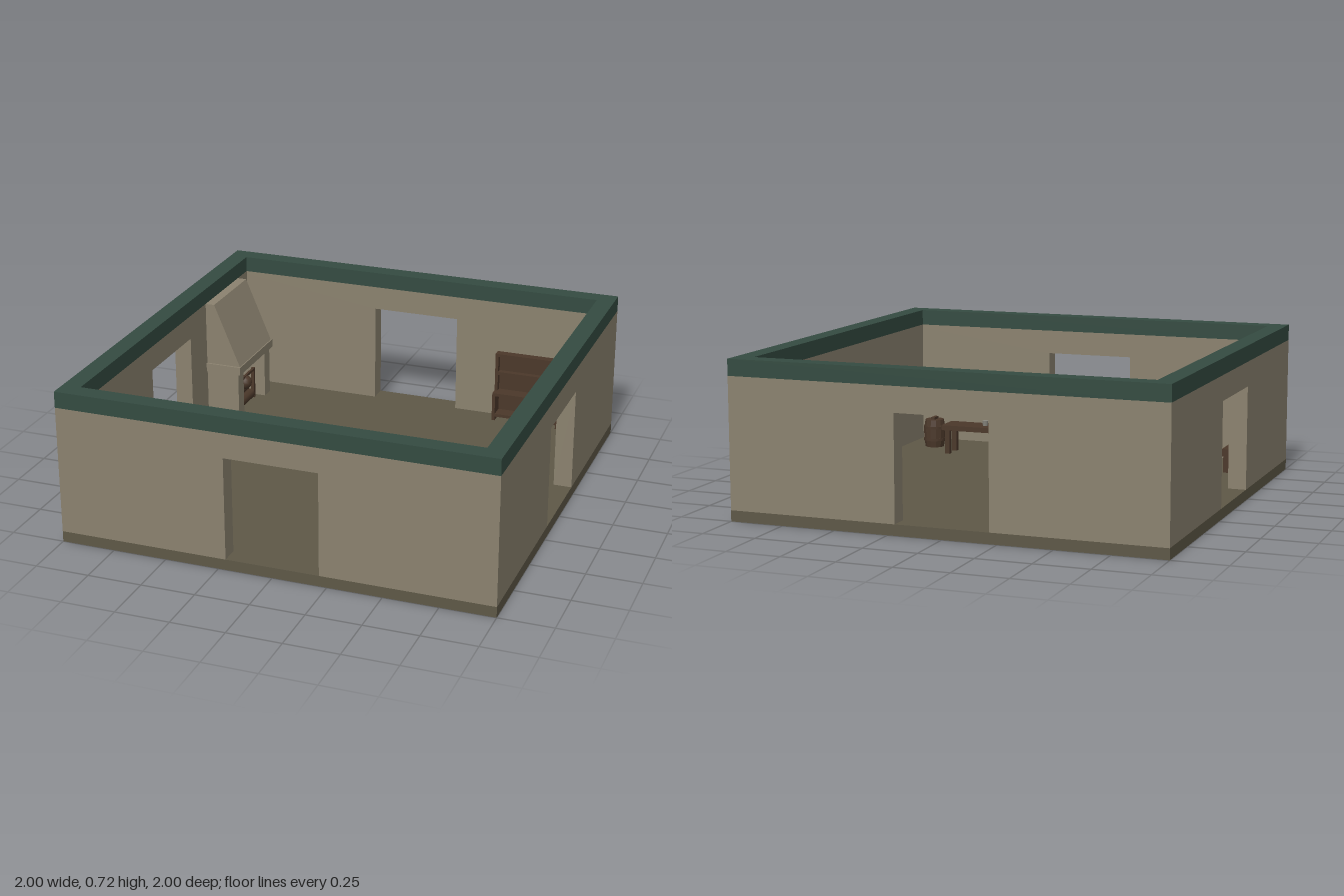
import * as THREE from 'three';

const material = (name, color) => {
  const m = new THREE.MeshStandardMaterial({ color });
  m.name = name;
  return m;
};

export function createModel() {
  const room = new THREE.Group();
  room.name = 'room';
  const plaster = material('plaster', 0x8b826f);
  const green = material('green trim', 0x344b41);
  const stone = material('floor stone', 0x5e5847);
  const wood = material('dark wood', 0x4b382a);
  const metal = material('pewter', 0x8a8880);

  const FLOOR = 0.05, WALL_TOP = 0.645, TOP = 0.72, INNER = 0.915, THICK = 1 - INNER;

  const group = (name, parent = room) => {
    const g = new THREE.Group();
    g.name = name;
    parent.add(g);
    return g;
  };
  const add = (parent, name, geometry, mat) => {
    const mesh = new THREE.Mesh(geometry, mat);
    mesh.name = name;
    parent.add(mesh);
    return mesh;
  };
  // Box given by its lowest and highest corner
  const box = (parent, name, x0, x1, y0, y1, z0, z1, mat) => {
    const mesh = add(parent, name, new THREE.BoxGeometry(x1 - x0, y1 - y0, z1 - z0), mat);
    mesh.position.set((x0 + x1) / 2, (y0 + y1) / 2, (z0 + z1) / 2);
    return mesh;
  };
  const polygon = (points) => new THREE.Shape(points.map(([x, y]) => new THREE.Vector2(x, y)));
  const extrude = (shape, depth) => new THREE.ExtrudeGeometry(shape, { depth, bevelEnabled: false });

  // Floor slab
  box(room, 'floor', -1, 1, 0, FLOOR, -1, 1, stone);

  // Four walls, each with a doorway reaching the floor
  const DOOR = 0.215, DOOR_TOP = 0.53;
  for (let i = 0; i < 4; i++) {
    const half = i % 2 ? INNER : 1;
    const shape = polygon([
      [-half, FLOOR], [-DOOR, FLOOR], [-DOOR, DOOR_TOP], [DOOR, DOOR_TOP],
      [DOOR, FLOOR], [half, FLOOR], [half, WALL_TOP], [-half, WALL_TOP],
    ]);
    const wall = add(room, ['front', 'left', 'back', 'right'][i] + 'Wall',
      extrude(shape, THICK).translate(0, 0, INNER), plaster);
    wall.rotation.y = i * Math.PI / 2;
  }

  // Trim ring along the top of the walls
  const square = (s) => [[-s, -s], [s, -s], [s, s], [-s, s]];
  const ring = polygon(square(1));
  ring.holes.push(polygon(square(INNER)));
  add(room, 'wallTrim', extrude(ring, TOP - WALL_TOP).rotateX(-Math.PI / 2).translate(0, WALL_TOP, 0), green);

  // Fireplace: jambs, mantel and sloping hood
  const fireplace = group('fireplace');
  box(fireplace, 'jamb', -INNER, -0.75, FLOOR, 0.295, -0.8, -0.735, plaster);
  box(fireplace, 'jamb', -INNER, -0.75, FLOOR, 0.295, -0.465, -0.4, plaster);
  box(fireplace, 'mantel', -INNER, -0.735, 0.295, 0.335, -0.81, -0.39, plaster);
  const hood = polygon([[-INNER, 0.335], [-0.74, 0.335], [-0.87, 0.645], [-INNER, 0.645]]);
  add(fireplace, 'hood', extrude(hood, 0.4).translate(0, 0, -0.8), plaster);

  // Hearth: posts, crossbar and stacked logs
  const hearth = group('hearth', fireplace);
  for (const z of [-0.7, -0.5]) {
    box(hearth, 'hearthPost', -0.808, -0.792, FLOOR, 0.21, z - 0.008, z + 0.008, wood);
  }
  box(hearth, 'crossbar', -0.806, -0.794, 0.195, 0.207, -0.7, -0.5, wood);
  for (const [x, y] of [[-0.86, 0.075], [-0.81, 0.075], [-0.835, 0.118]]) {
    const log = add(hearth, 'log', new THREE.CylinderGeometry(0.025, 0.025, 0.17, 8).rotateX(Math.PI / 2), wood);
    log.position.set(x, y, -0.6);
  }
  const pot = add(hearth, 'pot', new THREE.SphereGeometry(0.035, 10, 8), wood);
  pot.position.set(-0.8, 0.17, -0.6);

  // Shelf against the back wall, deeper towards the floor
  const shelf = group('shelf');
  box(shelf, 'shelfBack', 0.43, 0.77, FLOOR, 0.39, -INNER, -0.903, wood);
  [[0.07, -0.835], [0.18, -0.835], [0.28, -0.875], [0.375, -0.875]].forEach(([y, z]) =>
    box(shelf, 'shelfBoard', 0.43, 0.77, y, y + 0.015, -0.903, z, wood));
  for (const x of [0.43, 0.755]) {
    box(shelf, 'shelfSide', x, x + 0.015, FLOOR, 0.195, -0.903, -0.835, wood);
    box(shelf, 'shelfSide', x, x + 0.015, 0.195, 0.39, -0.903, -0.875, wood);
  }

  // Table with two cups
  const table = group('table');
  box(table, 'tableTop', 0.35, 0.65, 0.17, 0.195, 0.53, 0.665, wood);
  for (const x of [0.365, 0.61]) for (const z of [0.54, 0.63]) {
    box(table, 'tableLeg', x, x + 0.025, FLOOR, 0.17, z, z + 0.025, wood);
  }
  for (const x of [0.395, 0.44]) {
    const cup = add(table, 'cup', new THREE.CylinderGeometry(0.016, 0.013, 0.025, 8), metal);
    cup.position.set(x, 0.2075, 0.597);
  }

  // Barrels: bulging staves and two hoops
  const barrel = (name, x, z, r, height) => {
    const g = group(name);
    g.position.set(x, FLOOR, z);
    const profile = [[0, 0], [0.84, 0], [0.97, 0.3], [0.97, 0.7], [0.84, 1], [0, 1]]
      .map(([a, b]) => new THREE.Vector2(a * r, b * height));
    const staves = new THREE.LatheGeometry(profile, 12).toNonIndexed();
    staves.computeVertexNormals();
    add(g, 'staves', staves, wood);
    for (const y of [0.28, 0.72]) {
      const hoop = add(g, 'hoop', new THREE.CylinderGeometry(r, r, 0.012, 12), wood);
      hoop.position.y = y * height;
    }
    return g;
  };
  barrel('barrel', -0.553, 0.813, 0.066, 0.19);
  barrel('barrel', -0.403, 0.82, 0.066, 0.19);
  const keg = barrel('lidBarrel', 0.765, 0.713, 0.056, 0.14);
  box(keg, 'lidHandle', -0.01, 0.01, 0.14, 0.152, -0.025, 0.025, wood);

  // Chest by the right wall
  const chest = group('chest');
  box(chest, 'chestBody', -0.902, -0.797, FLOOR, 0.13, 0.565, 0.76, wood);
  box(chest, 'chestLid', -0.908, -0.79, 0.13, 0.165, 0.56, 0.765, wood);

  return room;
}
